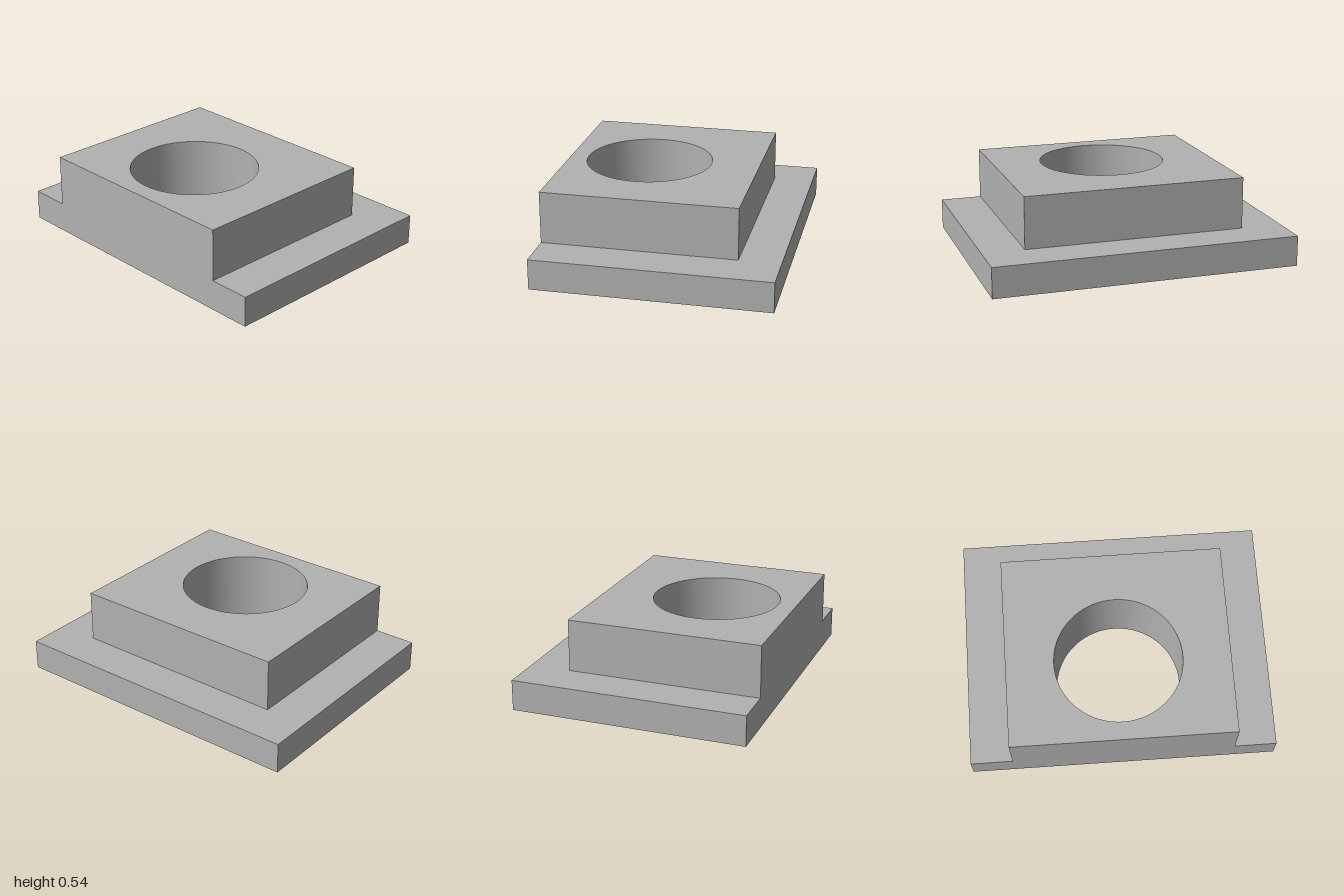
import * as THREE from 'three';
import { toCreasedNormals } from 'three/addons/utils/BufferGeometryUtils.js';

const LEFT = -0.766, RIGHT = 0.766, DEPTH = 1;      // base plate extents
const STEP_X = 0.498, STEP_Z = 0.727;               // raised block extents
const BASE_H = 0.2, TOP_H = 0.54;
const HOLE_X = -0.234, HOLE_R = 0.415;

// Outline in plan, optionally pierced by the bore
function outline(points, bored) {
  const shape = new THREE.Shape(points.map(([x, y]) => new THREE.Vector2(x, y)));
  if (bored) shape.holes.push(new THREE.Path().absarc(HOLE_X, 0, HOLE_R, 0, Math.PI * 2, true));
  return shape;
}

const rectangle = (x, z) => [[LEFT, -z], [x, -z], [x, z], [LEFT, z]];

// Extrude upwards from y0, leaving off the cap that lies at openY inside the solid
function layer(shape, y0, y1, openY) {
  const geo = new THREE.ExtrudeGeometry(shape, { depth: y1 - y0, bevelEnabled: false, curveSegments: 64 });
  geo.rotateX(-Math.PI / 2).translate(0, y0, 0);
  const p = geo.attributes.position, kept = [];
  for (let i = 0; i < p.count; i += 3) {
    const corners = [i, i + 1, i + 2];
    if (corners.every((k) => Math.abs(p.getY(k) - openY) < 1e-4)) continue;
    for (const k of corners) kept.push(p.getX(k), p.getY(k), p.getZ(k));
  }
  const open = new THREE.BufferGeometry();
  open.setAttribute('position', new THREE.Float32BufferAttribute(kept, 3));
  return toCreasedNormals(open, Math.PI / 6);
}

export function createModel() {
  const group = new THREE.Group();
  group.name = 'boredMountingBlock';
  const grey = new THREE.MeshStandardMaterial({ color: 0xb2b2b2 });
  grey.name = 'grey';

  const add = (name, geometry) => {
    const mesh = new THREE.Mesh(geometry, grey);
    mesh.name = name;
    group.add(mesh);
  };

  // Base plate and raised block share one through bore
  add('basePlate', layer(outline(rectangle(RIGHT, DEPTH), true), 0, BASE_H, BASE_H));
  add('raisedBlock', layer(outline(rectangle(STEP_X, STEP_Z), true), BASE_H, TOP_H, BASE_H));

  // Ledge running round three sides of the raised block
  const ledge = new THREE.ShapeGeometry(outline([
    [LEFT, -DEPTH], [RIGHT, -DEPTH], [RIGHT, DEPTH], [LEFT, DEPTH],
    [LEFT, STEP_Z], [STEP_X, STEP_Z], [STEP_X, -STEP_Z], [LEFT, -STEP_Z],
  ], false));
  ledge.rotateX(-Math.PI / 2).translate(0, BASE_H, 0);
  add('ledge', ledge);

  return group;
}
